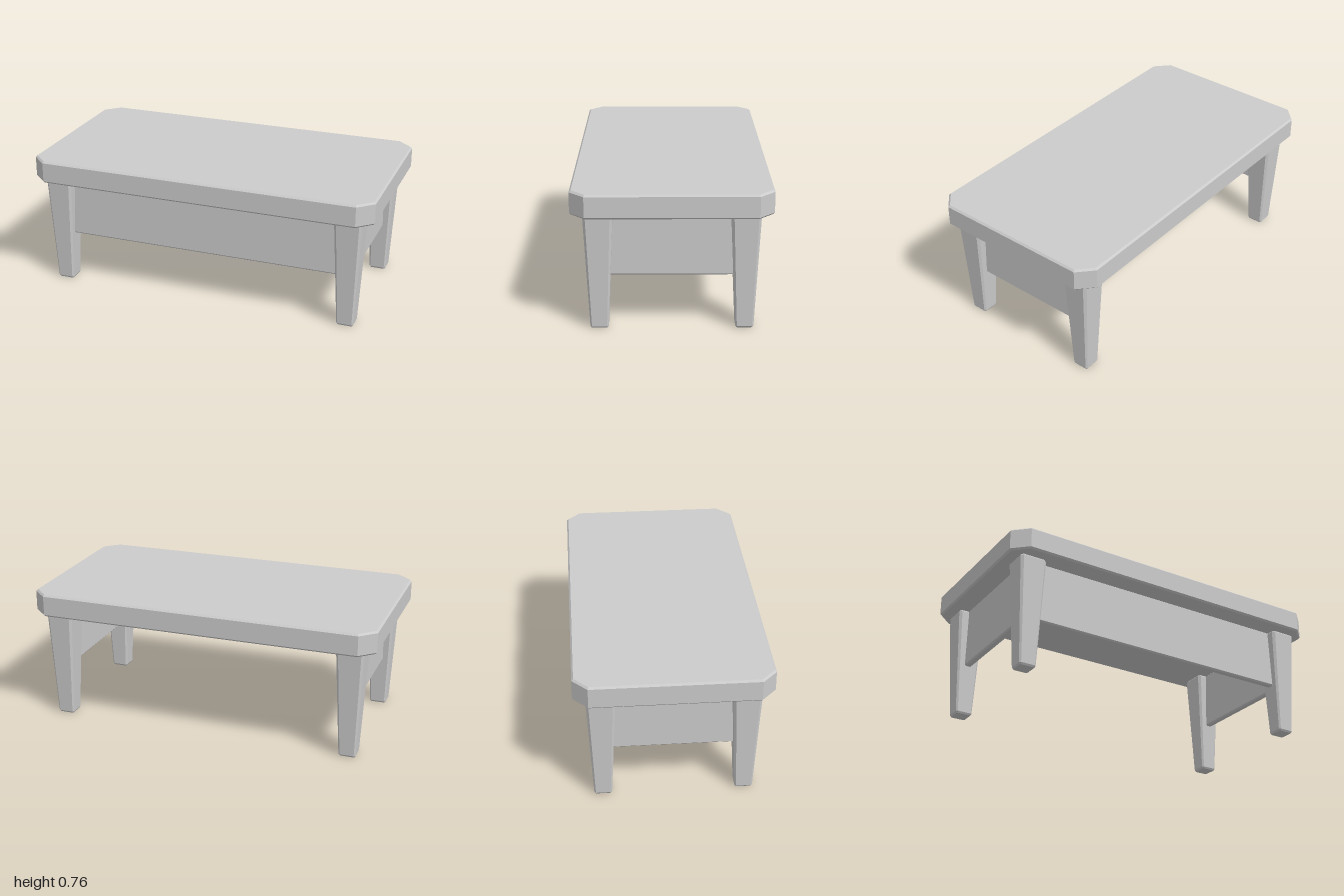
import * as THREE from 'three';

const material = new THREE.MeshStandardMaterial({ color: 0xcccccc, flatShading: true });

// Rectangle with cut corners, centred on the origin.
function cutRect(hx, hy, cx, cy = cx) {
  return new THREE.Shape([
    [hx, -hy + cy], [hx, hy - cy], [hx - cx, hy], [-hx + cx, hy],
    [-hx, hy - cy], [-hx, -hy + cy], [-hx + cx, -hy], [hx - cx, -hy],
  ].map(([x, y]) => new THREE.Vector2(x, y)));
}

// Upright block with bevelled edges all round, standing on y = 0.
function bevelledBlock(hx, height, hz, cutX, cutZ, bevel) {
  const geometry = new THREE.ExtrudeGeometry(cutRect(hx - bevel, hz - bevel, cutX, cutZ), {
    depth: height - 2 * bevel, bevelEnabled: true, bevelSegments: 1,
    bevelSize: bevel, bevelThickness: bevel,
  });
  return geometry.rotateX(-Math.PI / 2).translate(0, bevel, 0);
}

// Square leg narrowing towards the floor.
function taperedLeg(height, topHalf, footHalf) {
  const geometry = bevelledBlock(topHalf, height, topHalf, 0.008, 0.008, 0.01);
  const p = geometry.attributes.position;
  for (let i = 0; i < p.count; i++) {
    const s = THREE.MathUtils.lerp(footHalf / topHalf, 1, p.getY(i) / height);
    p.setX(i, p.getX(i) * s);
    p.setZ(i, p.getZ(i) * s);
  }
  geometry.computeVertexNormals();
  return geometry;
}

export function createModel() {
  const model = new THREE.Group();
  model.name = 'desk';
  const add = (name, geometry, x, y, z) => {
    const mesh = new THREE.Mesh(geometry, material);
    mesh.name = name;
    mesh.position.set(x, y, z);
    model.add(mesh);
  };
  const legX = 0.857, legZ = 0.383;

  // Thick top with clipped corners
  add('tabletop', bevelledBlock(1, 0.13, 0.527, 0.08, 0.075, 0.01), 0, 0.635, 0);

  // Four tapered legs
  const leg = taperedLeg(0.637, 0.078, 0.048);
  for (const [side, sx] of [['Left', 1], ['Right', -1]]) {
    for (const [end, sz] of [['front', 1], ['back', -1]]) {
      add(`${end}${side}Leg`, leg, sx * legX, 0, sz * legZ);
    }
  }

  // Panels on the front and both ends; the back stays open
  const panelY = 0.29, panelHeight = 0.35, half = 0.021;
  add('frontPanel', bevelledBlock(legX, panelHeight, half, 0.002, 0.002, 0.008), 0, panelY, legZ);
  const endPanel = bevelledBlock(half, panelHeight, legZ, 0.002, 0.002, 0.008);
  add('leftPanel', endPanel, legX, panelY, 0);
  add('rightPanel', endPanel, -legX, panelY, 0);

  return model;
}
